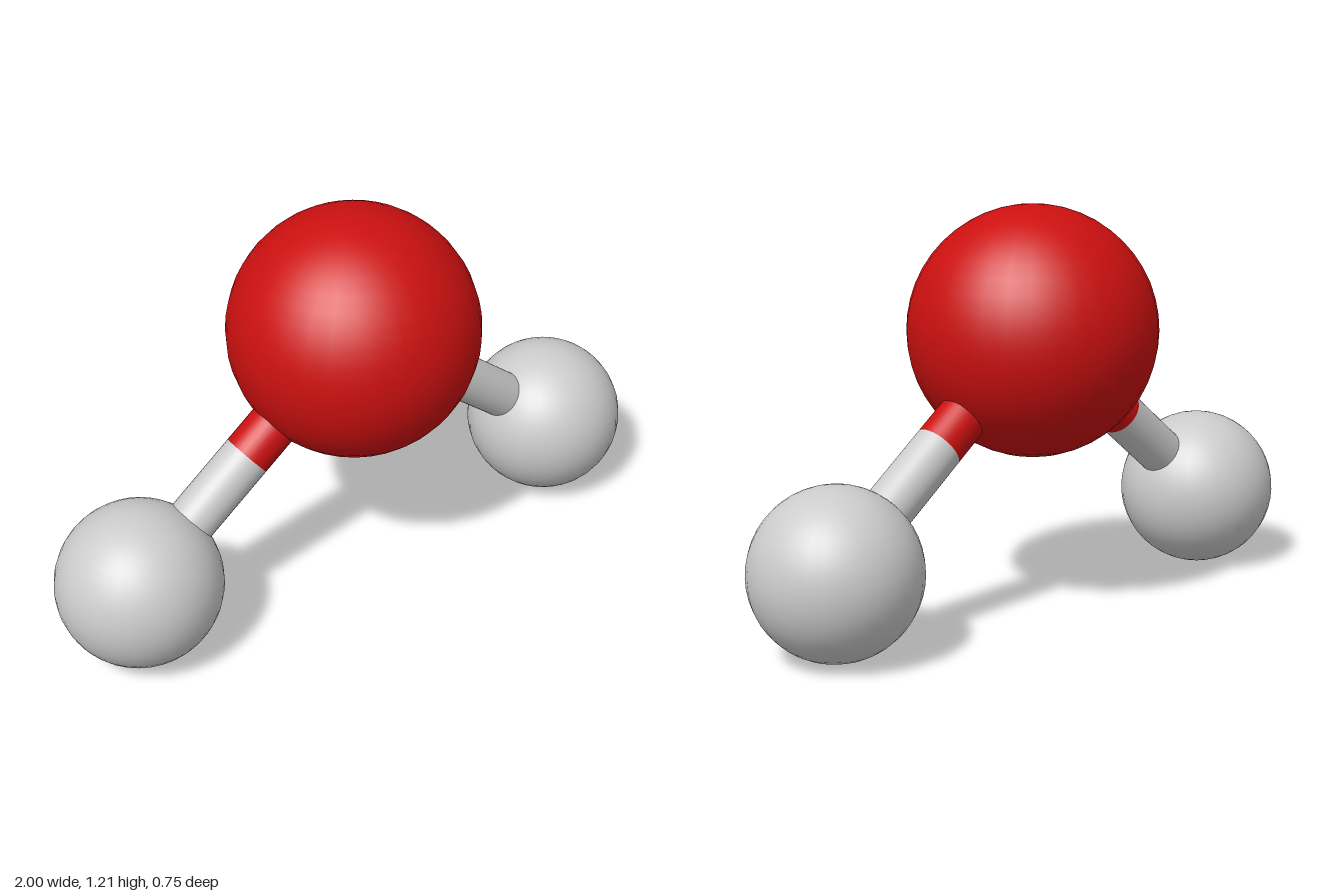
import * as THREE from 'three';

const red = new THREE.MeshStandardMaterial({ color: 0xcc1010 });
const grey = new THREE.MeshStandardMaterial({ color: 0xcccccc });

function ball(name, center, radius, material) {
  const mesh = new THREE.Mesh(new THREE.SphereGeometry(radius, 32, 24), material);
  mesh.name = name;
  mesh.position.copy(center);
  return mesh;
}

// Cylinder running from point a to point b
function rod(name, a, b, radius, material) {
  const dir = b.clone().sub(a);
  const mesh = new THREE.Mesh(new THREE.CylinderGeometry(radius, radius, dir.length(), 32), material);
  mesh.name = name;
  mesh.position.copy(a).add(b).multiplyScalar(0.5);
  mesh.quaternion.setFromUnitVectors(new THREE.Vector3(0, 1, 0), dir.normalize());
  return mesh;
}

export function createModel() {
  const model = new THREE.Group();
  model.name = 'waterMolecule';

  // Large central atom
  const center = new THREE.Vector3(0, 0.842, 0);
  model.add(ball('oxygenAtom', center, 0.373, red));

  // Two small atoms, each on a bond coloured half and half
  for (const [side, sign] of [['left', 1], ['right', -1]]) {
    const end = new THREE.Vector3(sign * 0.754, 0.25, 0);
    const middle = center.clone().lerp(end, 0.5);
    model.add(
      ball(`${side}HydrogenAtom`, end, 0.246, grey),
      rod(`${side}BondInner`, center, middle, 0.073, red),
      rod(`${side}BondOuter`, middle, end, 0.073, grey),
    );
  }
  return model;
}
